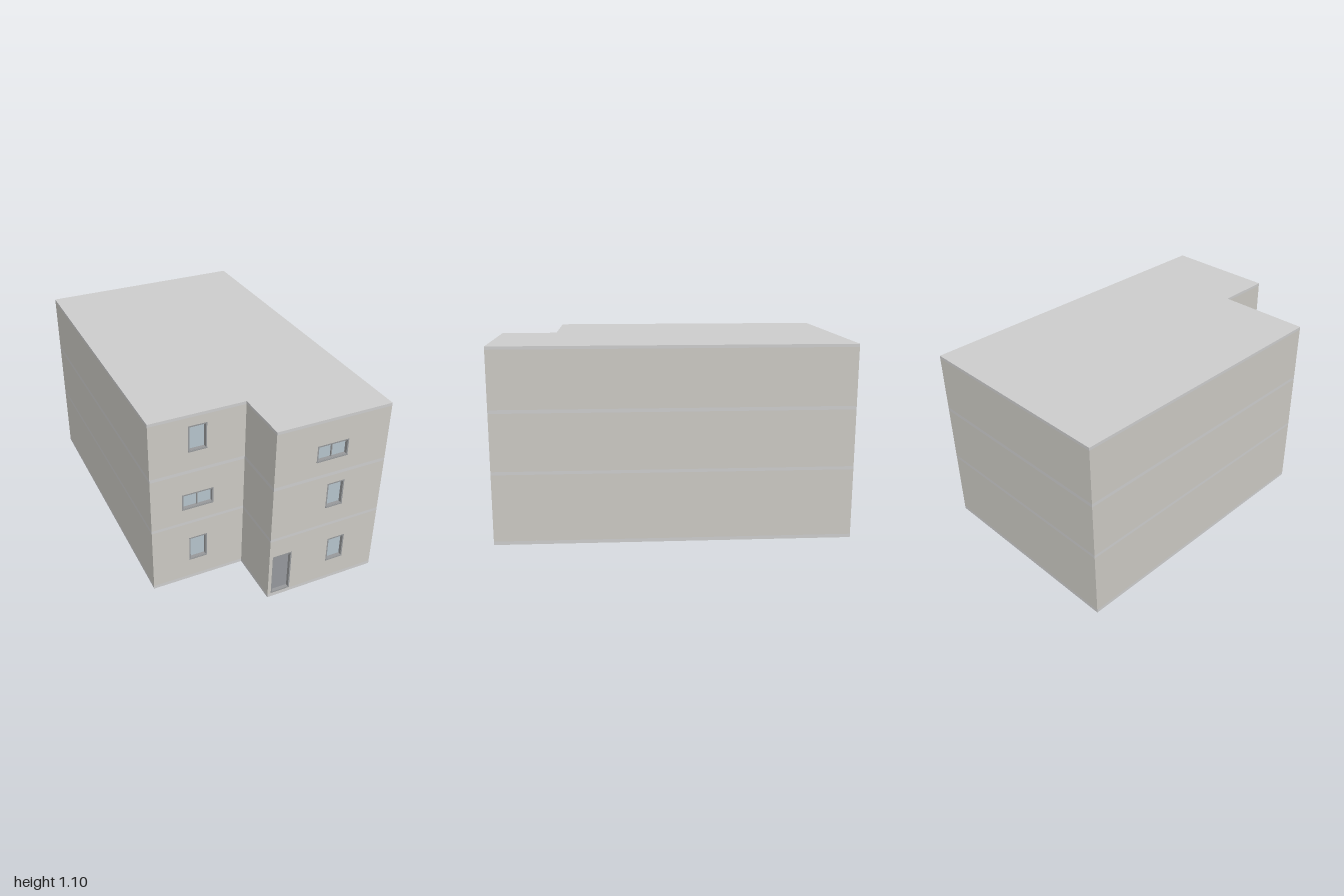
import * as THREE from 'three';

const mat = (color) => new THREE.MeshStandardMaterial({ color });
const wallMat = mat(0xcac8c2), slabMat = mat(0xc0c0be), frameMat = mat(0x96989a);
const glassMat = mat(0xb4c2ca), doorMat = mat(0x94979c);

const W = 0.612, STEP = -0.062, BACK = -1, FRONT = 0.997, SETBACK = 0.673, SKIN = 0.03;

function add(parent, name, geometry, material, x = 0, y = 0, z = 0) {
  const mesh = new THREE.Mesh(geometry, material);
  mesh.name = name;
  mesh.position.set(x, y, z);
  parent.add(mesh);
  return mesh;
}

// L-shaped plan, raised to a height; inset pulls both front faces back
function planBlock(height, inset) {
  const plan = [[-W, BACK], [-W, SETBACK - inset], [STEP, SETBACK - inset],
    [STEP, FRONT - inset], [W, FRONT - inset], [W, BACK]];
  const shape = new THREE.Shape(plan.map(([x, z]) => new THREE.Vector2(x, -z)));
  return new THREE.ExtrudeGeometry(shape, { depth: height, bevelEnabled: false }).rotateX(-Math.PI / 2);
}

function rectPoints(x0, x1, y0, y1) {
  return [[x0, y0], [x1, y0], [x1, y1], [x0, y1]].map(([x, y]) => new THREE.Vector2(x, y));
}

// Rectangular sheet with rectangular holes, facing +z
function sheet(x0, x1, y0, y1, holes, depth) {
  const shape = new THREE.Shape(rectPoints(x0, x1, y0, y1));
  holes.forEach((h) => shape.holes.push(new THREE.Path(rectPoints(...h).reverse())));
  return new THREE.ExtrudeGeometry(shape, { depth, bevelEnabled: false });
}

// Framed opening with a recessed pane, projecting sill and optional mullion
function opening(parent, { rect, kind }, face) {
  const [x0, x1, y0, y1] = rect, t = 0.008;
  const w = x1 - x0, h = y1 - y0, cx = (x0 + x1) / 2, cy = (y0 + y1) / 2;
  const g = new THREE.Group();
  g.name = kind === 'door' ? 'door' : 'window';
  add(g, 'frame', sheet(x0, x1, y0, y1, [[x0 + t, x1 - t, y0 + t, y1 - t]], SKIN), frameMat, 0, 0, face - SKIN);
  add(g, kind === 'door' ? 'doorLeaf' : 'glass', new THREE.BoxGeometry(w - t, h - t, 0.008),
    kind === 'door' ? doorMat : glassMat, cx, cy, face - SKIN + 0.006);
  if (kind === 'double') {
    add(g, 'mullion', new THREE.BoxGeometry(0.006, h - t, 0.012), frameMat, cx, cy, face - SKIN + 0.012);
  }
  if (kind !== 'door') {
    add(g, 'sill', new THREE.BoxGeometry(w, 0.006, 0.008), frameMat, cx, y0 + 0.003, face - 0.001);
  }
  parent.add(g);
}

export function createModel() {
  const model = new THREE.Group();
  model.name = 'building';

  // Floor slabs and roof, flush with the walls
  const slabs = [[0, 0.02], [0.4, 0.418], [0.74, 0.76], [1.083, 1.1]];
  slabs.forEach(([y0, y1], i) => add(model, i === 3 ? 'roof' : 'floorSlab', planBlock(y1 - y0, 0), slabMat, 0, y0));

  // Openings of each storey: rect = x0, x1, y0, y1
  const storeys = [
    { left: [{ rect: [-0.393, -0.285, 0.137, 0.295] }],
      right: [{ rect: [0.302, 0.41, 0.137, 0.295] }, { rect: [-0.042, 0.075, 0.024, 0.288], kind: 'door' }] },
    { left: [{ rect: [-0.432, -0.246, 0.504, 0.605], kind: 'double' }],
      right: [{ rect: [0.263, 0.368, 0.528, 0.688] }] },
    { left: [{ rect: [-0.393, -0.285, 0.874, 1.032] }],
      right: [{ rect: [0.181, 0.367, 0.848, 0.948], kind: 'double' }] },
  ];
  storeys.forEach(({ left, right }, i) => {
    const y0 = slabs[i][1], y1 = slabs[i + 1][0];
    const storey = new THREE.Group();
    storey.name = 'storey';
    add(storey, 'walls', planBlock(y1 - y0, SKIN), wallMat, 0, y0);

    // Front walls of the set-back bay and the projecting bay
    [[-W, STEP, SETBACK, left], [STEP, W, FRONT, right]].forEach(([x0, x1, face, list]) => {
      add(storey, 'frontWall', sheet(x0, x1, y0, y1, list.map((o) => o.rect), SKIN), wallMat, 0, 0, face - SKIN);
      list.forEach((o) => opening(storey, o, face));
    });
    model.add(storey);
  });
  return model;
}
